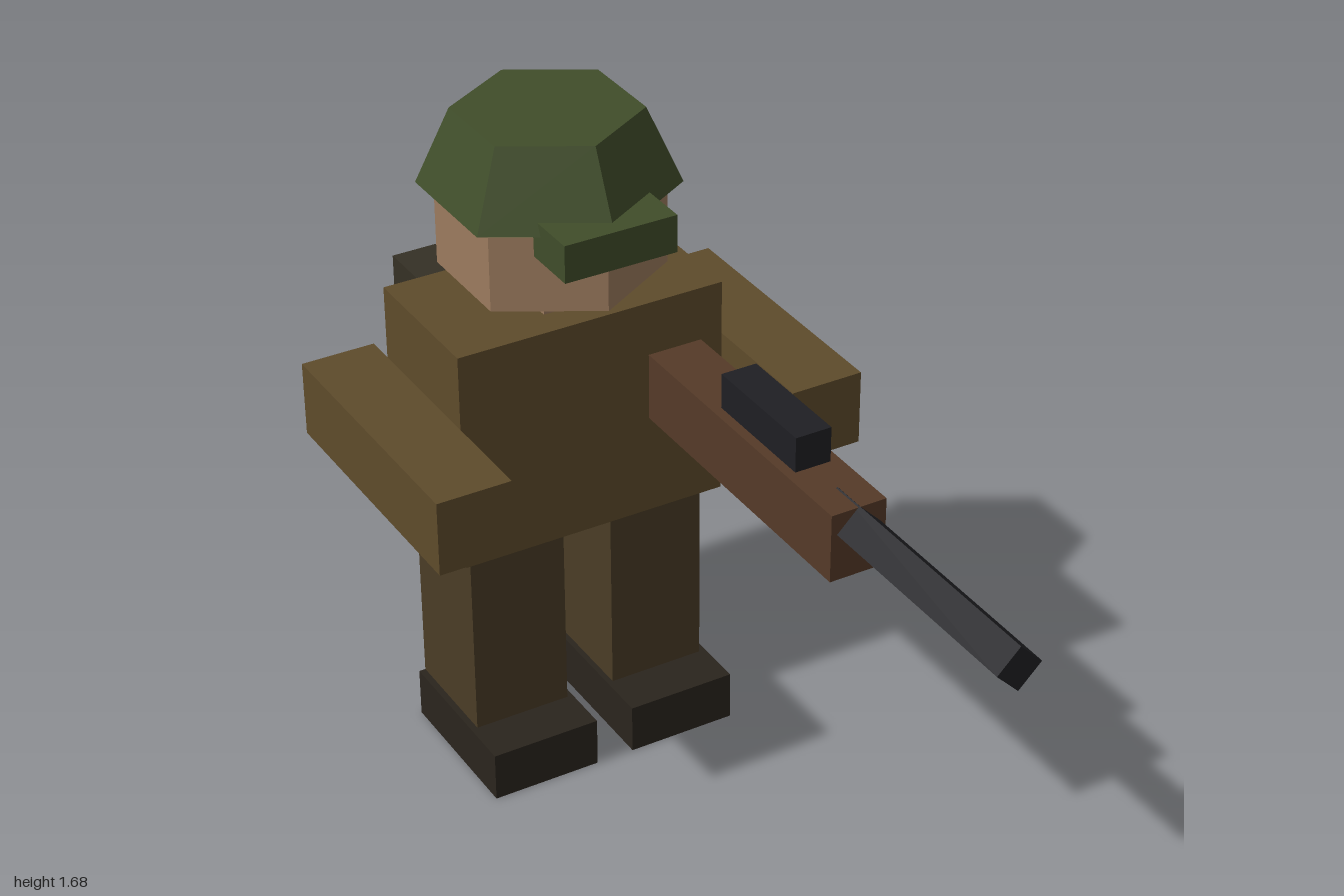
import * as THREE from 'three';

const mat = (color) => new THREE.MeshStandardMaterial({ color, flatShading: true });

export function createModel() {
  const model = new THREE.Group();
  const cloth = mat(0x5e4b2b), trousers = mat(0x4a3c26), leather = mat(0x2a241d);
  const green = mat(0x404d2a), skin = mat(0x9c7b5e), wood = mat(0x553a28);
  const metal = mat(0x1f1f23), canvas = mat(0x353025);

  const add = (name, geometry, material, x, y, z) => {
    const mesh = new THREE.Mesh(geometry, material);
    mesh.name = name;
    mesh.position.set(x, y, z);
    model.add(mesh);
    return mesh;
  };
  // Box given by its extents along each axis
  const box = (name, material, [x0, x1], [y0, y1], [z0, z1]) =>
    add(name, new THREE.BoxGeometry(x1 - x0, y1 - y0, z1 - z0), material,
      (x0 + x1) / 2, (y0 + y1) / 2, (z0 + z1) / 2);

  // Body
  box('torso', cloth, [-0.35, 0.35], [0.645, 1.22], [-0.79, -0.41]);
  box('backpack', canvas, [-0.225, 0.225], [0.755, 1.17], [-1, -0.79]);

  // Limbs, mirrored
  for (const [side, s] of [['left', 1], ['right', -1]]) {
    const span = (a, b) => (s > 0 ? [a, b] : [-b, -a]);
    box(side + 'Arm', cloth, span(0.37, 0.558), [0.867, 1.058], [-0.82, -0.12]);
    box(side + 'Leg', trousers, span(0.065, 0.318), [0.13, 0.645], [-0.74, -0.455]);
    box(side + 'Boot', leather, span(0.05, 0.335), [0, 0.13], [-0.74, -0.33]);
  }

  // Six-sided head and helmet, with chin and brim
  add('head', new THREE.CylinderGeometry(0.27, 0.27, 0.19, 6), skin, 0, 1.377, -0.6);
  box('chin', skin, [-0.11, 0.11], [1.25, 1.34], [-0.63, -0.44]);
  add('helmet', new THREE.CylinderGeometry(0.225, 0.31, 0.19, 6), green, 0, 1.585, -0.605);
  box('helmetBrim', green, [-0.145, 0.145], [1.425, 1.52], [-0.42, -0.267]);

  // Rifle
  box('rifleStock', wood, [0.15, 0.293], [0.905, 1.08], [-0.45, 0.39]);
  box('rifleSight', metal, [0.175, 0.268], [1.08, 1.17], [-0.12, 0.2]);
  add('rifleBarrel', new THREE.CylinderGeometry(0.057, 0.057, 0.7, 4), metal, 0.222, 1.026, 0.65)
    .rotation.x = Math.PI / 2;

  return model;
}
